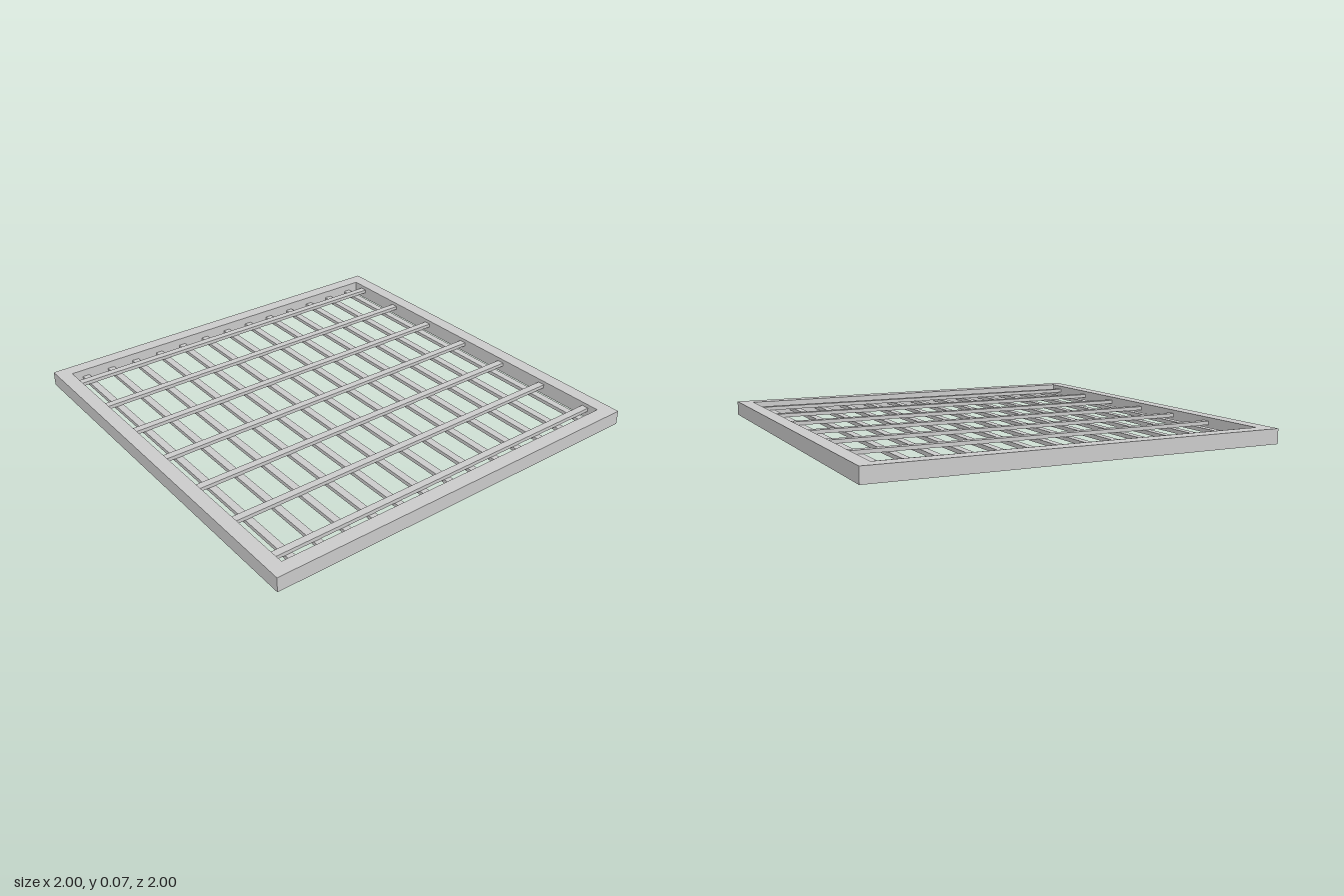
import * as THREE from 'three';

const SIZE = 2, HEIGHT = 0.072, RIM = 0.07;
const BAR_WIDTH = 0.036, BAR_HEIGHT = 0.018;

export function createModel() {
  const model = new THREE.Group();
  const material = new THREE.MeshStandardMaterial({ color: 0xcccccc, flatShading: true });

  const add = (geometry, name, x, y, z, parent = model) => {
    const mesh = new THREE.Mesh(geometry, material);
    mesh.name = name;
    mesh.position.set(x, y, z);
    parent.add(mesh);
    return mesh;
  };

  // Square outer frame with a square opening
  const square = (half, Type) => new Type([
    new THREE.Vector2(-half, -half), new THREE.Vector2(half, -half),
    new THREE.Vector2(half, half), new THREE.Vector2(-half, half),
  ]);
  const outline = square(SIZE / 2, THREE.Shape);
  outline.holes.push(square(SIZE / 2 - RIM, THREE.Path));
  const frame = new THREE.ExtrudeGeometry(outline, { depth: HEIGHT, bevelEnabled: false });
  frame.rotateX(-Math.PI / 2);
  add(frame, 'frame', 0, 0, 0);

  const length = SIZE - 2 * RIM;

  // Lower layer: bars running front to back
  const lower = new THREE.Group();
  lower.name = 'lowerBars';
  const lowerBar = new THREE.BoxGeometry(BAR_WIDTH, BAR_HEIGHT, length);
  for (let i = -6; i <= 6; i++) {
    add(lowerBar, 'lowerBar', i / 7, HEIGHT / 2 - BAR_HEIGHT / 2, 0, lower);
  }

  // Upper layer: crossbars running side to side
  const upper = new THREE.Group();
  upper.name = 'crossbars';
  const crossbar = new THREE.BoxGeometry(length, BAR_HEIGHT, BAR_WIDTH);
  for (let i = -3; i <= 3; i++) {
    add(crossbar, 'crossbar', 0, HEIGHT / 2 + BAR_HEIGHT / 2, i * 2 / 7, upper);
  }

  model.add(lower, upper);
  return model;
}
